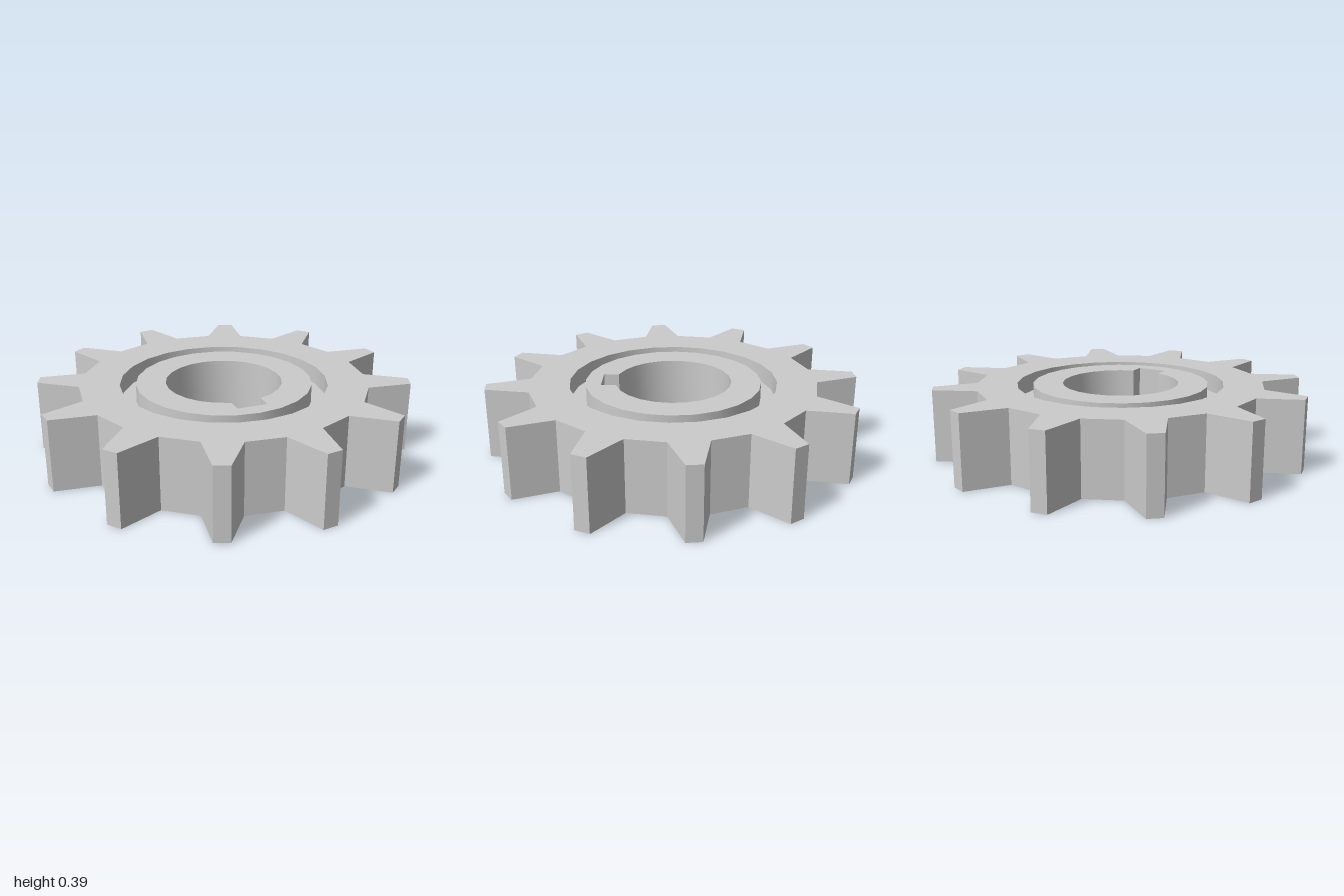
import * as THREE from 'three';
import { toCreasedNormals } from 'three/addons/utils/BufferGeometryUtils.js';

const HEIGHT = 0.39, GROOVE_DEPTH = 0.1;
const TEETH = 12, SEGMENTS = 24;
const ROOT_R = 0.775, TIP_R = 1.004, BORE_R = 0.314;
const GROOVE_OUTER = 0.56, GROOVE_INNER = 0.474, KEY_DEPTH = 0.385;

const material = new THREE.MeshStandardMaterial({ color: 0xcccccc });

// Point at an angle in degrees, counter-clockwise from +x.
function polar(radius, degrees) {
  const a = THREE.MathUtils.degToRad(degrees);
  return new THREE.Vector2(radius * Math.cos(a), radius * Math.sin(a));
}

function circle(radius) {
  return Array.from({ length: SEGMENTS }, (_, i) => polar(radius, i * 360 / SEGMENTS));
}

// Upright plate with one hole, standing on y = 0.
function plate(name, outline, hole) {
  const shape = new THREE.Shape(outline);
  shape.holes.push(new THREE.Path(hole));
  const geometry = new THREE.ExtrudeGeometry(shape, { depth: HEIGHT, bevelEnabled: false });
  geometry.rotateX(-Math.PI / 2);
  const mesh = new THREE.Mesh(toCreasedNormals(geometry, Math.PI / 6), material);
  mesh.name = name;
  return mesh;
}

export function createModel() {
  const group = new THREE.Group();
  group.name = 'sprocket';

  // Toothed rim: each tooth spans half a pitch, with a narrow flat tip
  const rim = [];
  for (let i = 0; i < TEETH; i++) {
    const a = 90 + i * 360 / TEETH;
    rim.push(polar(ROOT_R, a), polar(TIP_R, a + 5.1), polar(TIP_R, a + 9.8), polar(ROOT_R, a + 15));
  }
  group.add(plate('toothedRim', rim, circle(GROOVE_OUTER)));

  // Hub: bore with a square keyway towards the front
  const bore = [];
  for (let a = -75; a <= 255; a += 15) bore.push(polar(BORE_R, a));
  const keyHalf = BORE_R * Math.sin(Math.PI / 12);
  bore.push(new THREE.Vector2(-keyHalf, -KEY_DEPTH), new THREE.Vector2(keyHalf, -KEY_DEPTH));
  group.add(plate('hub', circle(GROOVE_INNER), bore));

  // Groove floors above and below the web joining hub and rim
  for (const side of [1, -1]) {
    const floor = new THREE.Mesh(new THREE.RingGeometry(GROOVE_INNER, GROOVE_OUTER, SEGMENTS), material);
    floor.name = side > 0 ? 'topGrooveFloor' : 'bottomGrooveFloor';
    floor.rotation.x = -side * Math.PI / 2;
    floor.position.y = side > 0 ? HEIGHT - GROOVE_DEPTH : GROOVE_DEPTH;
    group.add(floor);
  }
  return group;
}
